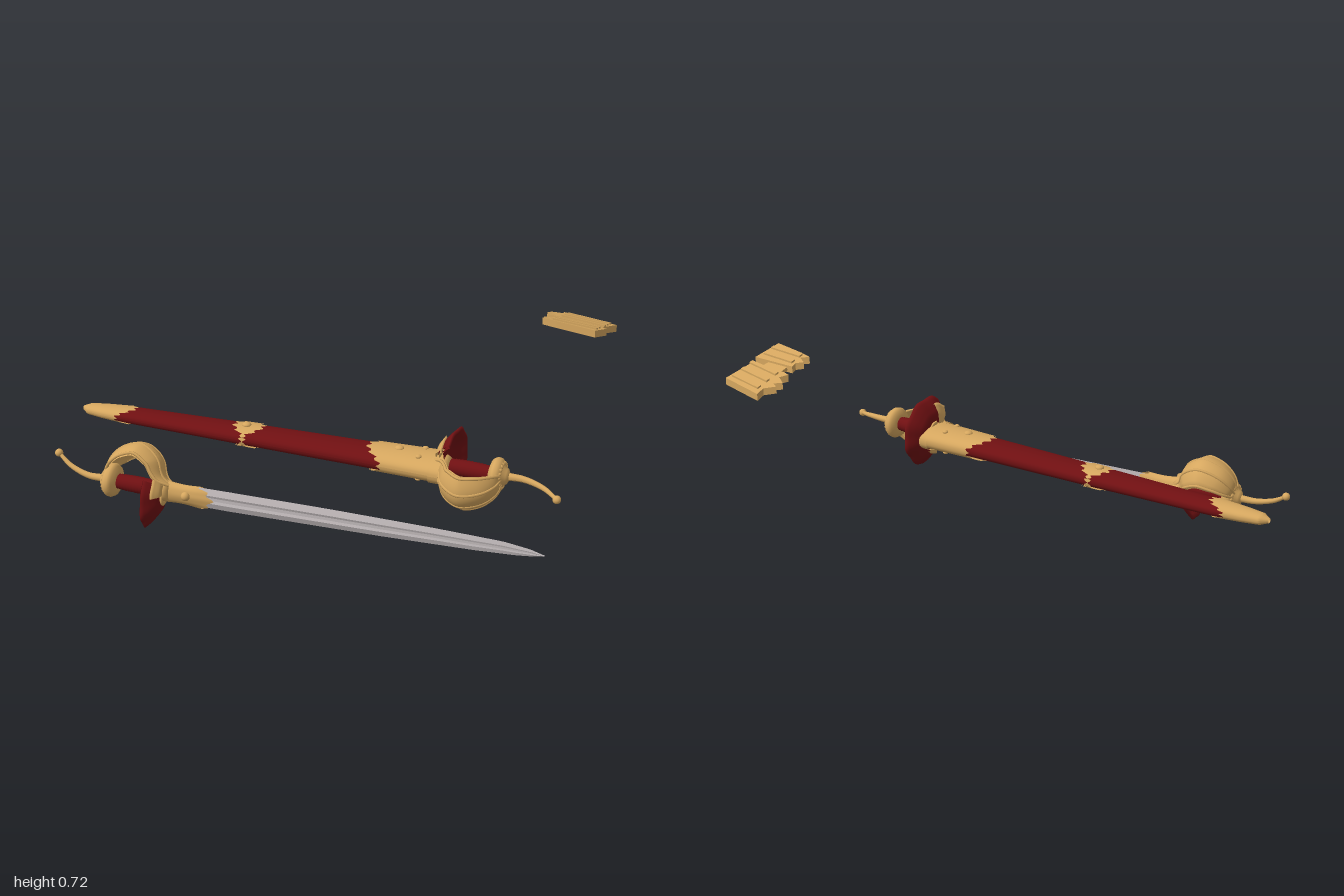
import * as THREE from 'three';

const mat = (name, color) => new THREE.MeshStandardMaterial({ name, color, side: THREE.DoubleSide });
const V = (x, y, z) => new THREE.Vector3(x, y, z);

// smooth value through [position, value] pairs
function ramp(pairs, x) {
  if (x <= pairs[0][0]) return pairs[0][1];
  for (let i = 1; i < pairs.length; i++) {
    const [a, p] = pairs[i - 1], [b, q] = pairs[i];
    if (x <= b) return p + (q - p) * (x - a) / (b - a);
  }
  return pairs[pairs.length - 1][1];
}

// surface swept over a rule fn(u, v) -> Vector3, u and v in 0..1
function sweep(nu, nv, fn) {
  const pos = [], idx = [];
  for (let i = 0; i <= nu; i++) for (let j = 0; j <= nv; j++) {
    pos.push(...fn(i / nu, j / nv).toArray());
    if (i < nu && j < nv) {
      const a = i * (nv + 1) + j, b = a + nv + 1;
      idx.push(a, b, a + 1, b, b + 1, a + 1);
    }
  }
  const g = new THREE.BufferGeometry();
  g.setAttribute('position', new THREE.Float32BufferAttribute(pos, 3));
  g.setIndex(idx);
  g.computeVertexNormals();
  return g;
}

export function createModel() {
  const gold = mat('gold', 0xd6a75f), red = mat('deep red', 0x701012), steel = mat('steel', 0xb8b1b2);
  const root = new THREE.Group();
  const add = (parent, name, geo, material) => {
    const m = new THREE.Mesh(geo, material);
    m.name = name;
    parent.add(m);
    return m;
  };
  const lathe = pts => new THREE.LatheGeometry(pts.map(p => new THREE.Vector2(...p)), 32).rotateZ(-Math.PI / 2);

  // ---- scabbard: flattened oval section that tapers to the tip ----
  const zLow = [[-1, .195], [-.97, .172], [-.9, .158], [-.78, .142], [-.3, .117], [0, .105], [.3, .093], [.54, .078]];
  const zHigh = [[-1, .205], [-.97, .228], [-.9, .238], [-.78, .246], [-.3, .25], [0, .252], [.3, .253], [.54, .258]];
  const half = [[-1, .005], [-.97, .017], [-.9, .022], [-.78, .028], [-.3, .034], [0, .037], [.54, .041]];
  const sleeve = (from, to, grow, n = 40) => sweep(n, 48, (u, v) => {
    const a = v * Math.PI * 2, c = Math.cos(a), s = Math.sin(a);
    const x = THREE.MathUtils.lerp(from(a), to(a), u);
    const lo = ramp(zLow, x), hi = ramp(zHigh, x), h = ramp(half, x);
    return V(x, .268 + .008 * (x + 1) / 1.5 + (h + grow) * Math.sign(s) * Math.abs(s) ** .85,
      (lo + hi) / 2 + ((hi - lo) / 2 + grow) * c);
  });
  const scallop = a => .07 * Math.abs(Math.sin(a)) ** 2 + .012 * Math.cos(a * 14);
  const scabbard = new THREE.Group();
  scabbard.name = 'scabbard';
  root.add(scabbard);
  add(scabbard, 'scabbardBody', sleeve(() => -.99, () => .52, 0, 80), red);
  add(scabbard, 'scabbardTip', sleeve(() => -1, a => -.83 + scallop(a), .004), gold);
  add(scabbard, 'scabbardMiddleBand', sleeve(a => -.25 - scallop(a), a => -.29 + scallop(a) + .02, .006), gold);
  add(scabbard, 'scabbardLocket', sleeve(a => .31 - scallop(a), () => .54, .007), gold);
  add(scabbard, 'locketRim', sleeve(() => .505, () => .545, .012, 4), gold);
  for (const side of [1, -1]) for (const [x, z, r] of [[.36, .17, .018], [.45, .13, .012], [.45, .21, .012], [-.27, .185, .018]]) {
    const boss = add(scabbard, 'boss', new THREE.SphereGeometry(r, 16, 10), gold);
    boss.scale.y = .6;
    boss.position.set(x, .275 + side * (x > 0 ? .046 : .038), z);
  }

  // ---- hilt, built along local x (towards the pommel), bow towards +y ----
  function makeHilt(name, origin, along, bow, shellWidth) {
    const hilt = new THREE.Group();
    hilt.name = name;
    const u = along.clone().normalize();
    const k = bow.clone().addScaledVector(u, -bow.dot(u)).normalize();
    hilt.applyMatrix4(new THREE.Matrix4().makeBasis(u, k, u.clone().cross(k)).setPosition(origin));
    root.add(hilt);

    // grip with ring wraps
    const grip = [[.028, .02]];
    for (let i = 0; i <= 28; i++) grip.push([.027 + .004 * Math.sin(i / 28 * Math.PI) + .002 * (i % 2), .04 + i * .0063]);
    add(hilt, 'grip', lathe(grip), red);
    add(hilt, 'guardBlock', lathe([[0, -.01], [.034, -.01], [.042, .01], [.042, .035], [.03, .055], [0, .055]]), gold);

    // round pommel with fluted rim
    add(hilt, 'pommel', lathe([[0, .208], [.035, .208], [.058, .216], [.066, .23], [.064, .245],
      [.052, .258], [.036, .262], [.03, .274], [.014, .282], [0, .284]]), gold);
    for (let i = 0; i < 20; i++) {
      const a = i / 20 * Math.PI * 2;
      const flute = add(hilt, 'pommelFlute', new THREE.SphereGeometry(.009, 8, 6), gold);
      flute.position.set(.254, .047 * Math.cos(a), .047 * Math.sin(a));
    }

    // curved tail with ball end
    const tail = new THREE.CatmullRomCurve3([V(.27, 0, 0), V(.34, 0, 0), V(.42, .025, 0), V(.475, .062, 0)]);
    const tube = sweep(24, 12, (t, v) => {
      const p = tail.getPoint(t), d = tail.getTangent(t), r = .015 - .008 * t, a = v * Math.PI * 2;
      return V(p.x - d.y * r * Math.cos(a), p.y + d.x * r * Math.cos(a), r * Math.sin(a));
    });
    add(hilt, 'tail', tube, gold);
    add(hilt, 'tailBall', new THREE.SphereGeometry(.016, 16, 12), gold).position.set(.478, .064, 0);

    // broad domed knuckle bow
    const bowCurve = new THREE.CatmullRomCurve3([V(-.01, .02, 0), V(.025, .05, 0), V(.055, .115, 0),
      V(.13, .16, 0), V(.21, .13, 0), V(.25, .075, 0), V(.255, .03, 0)]);
    const bowPoint = (t, s, out) => {
      const p = bowCurve.getPoint(t), d = bowCurve.getTangent(t);
      const w = .03 + .057 * Math.sin(Math.PI * Math.min(1, t * .97 + .03)) ** .8;
      const drop = .045 * s * s * Math.sin(Math.PI * t) - out;
      return V(p.x + d.y * drop, p.y - d.x * drop, w * s);
    };
    add(hilt, 'knuckleBow', sweep(40, 40, (t, v) =>
      v < .5 ? bowPoint(t, v * 4 - 1, .005) : bowPoint(t, 3 - v * 4, -.005)), gold);
    for (const s of [-.97, -.35, .35, .97]) {
      const pts = Array.from({ length: 15 }, (_, i) => bowPoint(i / 14, s, .003));
      add(hilt, 'bowRidge', new THREE.TubeGeometry(new THREE.CatmullRomCurve3(pts), 40, .006, 6), gold);
    }

    // dished half-round shell opposite the bow
    const dish = [[0, .045], [.3, .025], [.6, .03], [.85, .055], [1, .078]];
    const shell = (a0, a1, reach, shift, thick) => sweep(48, 24, (t, v) => {
      const a = THREE.MathUtils.lerp(a0, a1, t);
      const f = reach * (v < .5 ? v * 2 : 2 - v * 2);
      const r = .152 * f * (1 + .025 * f * Math.cos(a * 9));
      const x = ramp(dish, f) + shift + (v < .5 ? thick : -thick);
      return V(x, -r * Math.cos(a), r * Math.sin(a) * shellWidth);
    });
    add(hilt, 'guardShell', shell(-1.75, 1.75, 1, 0, .009), red);
    add(hilt, 'shellMount', shell(-1.1, 1.1, .4, -.008, .008), gold);
    add(hilt, 'shellWing', shell(-1.85, -1.25, .85, -.012, .007), gold);
    add(hilt, 'shellWing', shell(1.25, 1.85, .6, -.012, .007), gold);
    return hilt;
  }
  makeHilt('sheathedHilt', V(.51, .285, .17), V(1, 0, .01), V(0, -.4, .92), .97);
  makeHilt('drawnHilt', V(-.44, .152, .528), V(-.995, .03, .06), V(0, .9, -.43), .62);

  // ---- drawn blade: flattened diamond section with a shallow fuller ----
  const low = [[-.44, .112], [-.2, .106], [.4, .104], [.75, .107], [.9, .112], [.97, .118], [1, .125]];
  const high = [[-.44, .182], [-.2, .18], [.2, .175], [.6, .165], [.85, .155], [.95, .141], [1, .126]];
  const bladeZ = x => .515 - .077 * (x + .3);
  const section = [[1, 0], [.4, 1], [.15, .6], [-.15, .6], [-.4, 1], [-1, 0], [-.4, -1], [-.15, -.6], [.15, -.6], [.4, -1], [1, 0]];
  const blade = sweep(60, 10, (u, v) => {
    const x = -.44 + 1.44 * u, lo = ramp(low, x), hi = ramp(high, x);
    const [p, q] = section[Math.round(v * 10)], w = (hi - lo) / 2;
    const t = .0025 + .0075 * Math.min(1, (1 - u) * 2);
    return V(x, (lo + hi) / 2 + w * p, bladeZ(x) + t * q - .2 * w * p);
  }).toNonIndexed();
  blade.computeVertexNormals();
  add(root, 'blade', blade, steel);

  // gold collar at the blade root with a pointed, lobed end
  add(root, 'bladeCollar', sweep(24, 40, (u, v) => {
    const a = v * Math.PI * 2, c = Math.cos(a), s = Math.sin(a);
    const x = -.46 + u * (.15 + .05 * s * s + .012 * Math.cos(8 * a));
    return V(x, .15 - .008 * u + (.046 - .006 * Math.sin(u * Math.PI)) * c, bladeZ(x) + (.03 - .012 * u) * s);
  }), gold);
  for (const side of [-1, 1]) {
    const boss = add(root, 'collarBoss', new THREE.SphereGeometry(.018, 14, 10), gold);
    boss.position.set(-.36, .15, bladeZ(-.36) + side * .022);
  }

  // ---- broken wooden plates, flat slabs lying on one tilted plane ----
  const slab = (name, pts, lift, depth) => {
    const shape = new THREE.Shape(pts.map(p => new THREE.Vector2(...p)));
    const g = new THREE.ExtrudeGeometry(shape, { depth, bevelEnabled: false }).rotateX(Math.PI / 2);
    const p = g.attributes.position;
    for (let i = 0; i < p.count; i++)
      p.setY(i, p.getY(i) + lift + .69 + .25 * (p.getZ(i) + .45) - .07 * (p.getX(i) - .87));
    g.computeVertexNormals();
    add(root, name, g, gold);
  };
  slab('rearPlate', [[.765, -.63], [.995, -.565], [.97, -.43], [.77, -.47], [.74, -.48], [.765, -.505],
    [.72, -.535], [.755, -.55], [.725, -.565], [.77, -.59]], 0, .028);
  slab('frontPlate', [[.77, -.425], [.99, -.4], [.97, -.285], [.81, -.325], [.75, -.345], [.785, -.36],
    [.745, -.385], [.775, -.4]], 0, .028);
  slab('plateLink', [[.8, -.49], [.92, -.46], [.91, -.39], [.8, -.41]], -.008, .014);
  for (let i = 0; i < 3; i++) {
    const z = -.6 + i * .05;
    slab('plateRidge', [[.79, z], [.975, z + .05], [.972, z + .065], [.79, z + .018]], .007, .008);
  }
  for (let i = 0; i < 2; i++) {
    const z = -.405 + i * .045;
    slab('plateRidge', [[.79, z], [.97, z + .03], [.967, z + .045], [.79, z + .018]], .007, .008);
  }
  return root;
}
